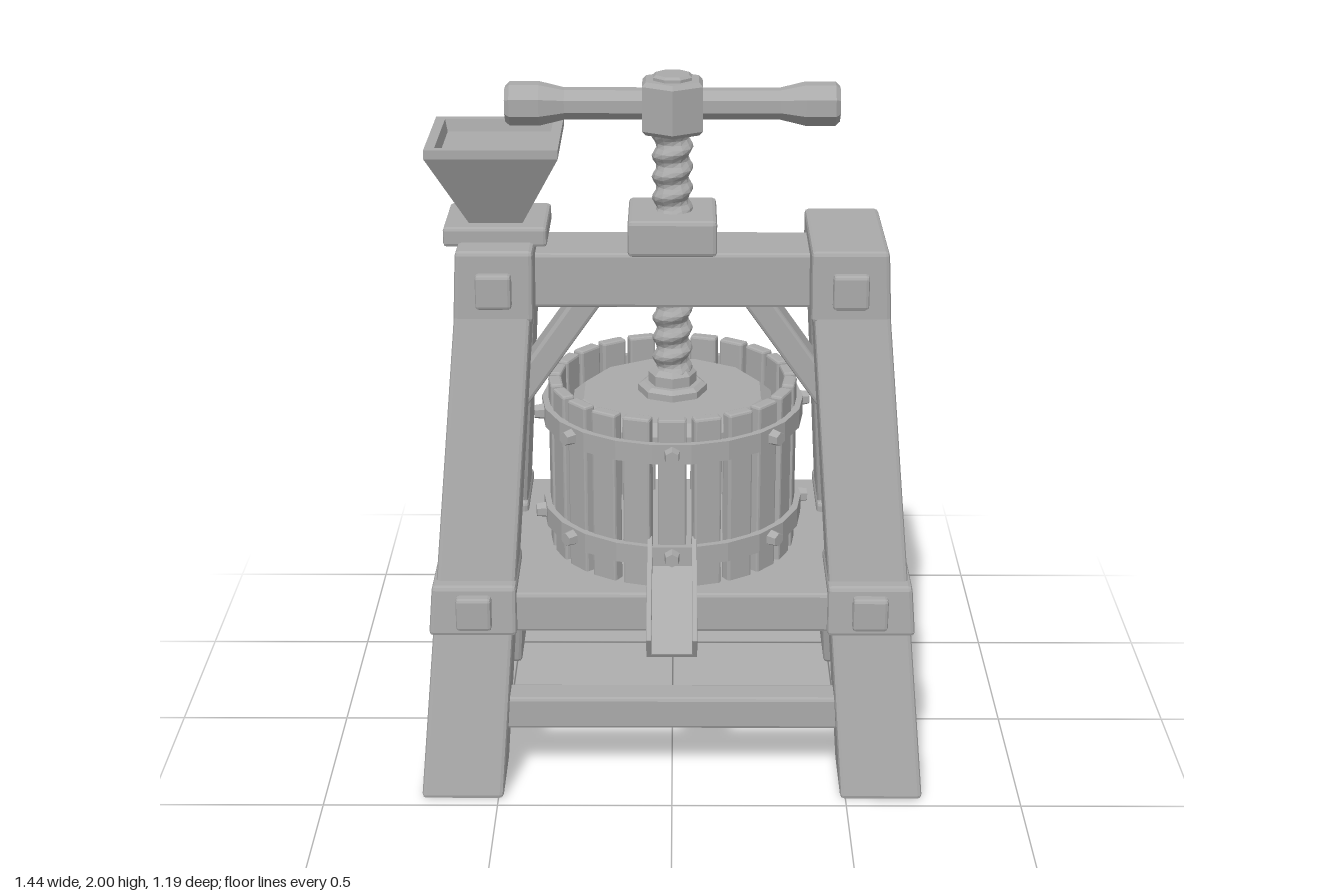
import * as THREE from 'three';
import { RoundedBoxGeometry } from 'three/addons/geometries/RoundedBoxGeometry.js';

export function createModel() {
  const grey = new THREE.MeshStandardMaterial({ color: 0xaaaaaa });
  grey.name = 'plain grey';
  const model = new THREE.Group();
  model.name = 'fruitPress';
  model.position.z = -0.06; // the frame is symmetric about this plane

  // Adds a mesh with one normal per face
  const add = (name, geometry, parent = model) => {
    const g = geometry.index ? geometry.toNonIndexed() : geometry;
    g.computeVertexNormals();
    const mesh = new THREE.Mesh(g, grey);
    mesh.name = name;
    parent.add(mesh);
    return mesh;
  };
  // Chamfered box from its limits
  const block = (name, [x0, x1], [y0, y1], [z0, z1], c = 0.01, parent = model) => {
    const mesh = add(name, new RoundedBoxGeometry(x1 - x0, y1 - y0, z1 - z0, 1, c), parent);
    mesh.position.set((x0 + x1) / 2, (y0 + y1) / 2, (z0 + z1) / 2);
    return mesh;
  };
  // Chamfered post between a lower and an upper rectangle [x0, x1, z0, z1]
  const post = (name, y0, low, y1, high, c = 0.012) => {
    const w = low[1] - low[0], d = low[3] - low[2], h = y1 - y0;
    const g = new RoundedBoxGeometry(w, h, d, 1, c);
    const p = g.attributes.position;
    for (let i = 0; i < p.count; i++) {
      const t = p.getY(i) / h + 0.5;
      const s = low.map((v, k) => v + (high[k] - v) * t);
      p.setXYZ(i,
        s[0] + (p.getX(i) / w + 0.5) * (s[1] - s[0]),
        y0 + t * h,
        s[2] + (p.getZ(i) / d + 0.5) * (s[3] - s[2]));
    }
    return add(name, g);
  };
  const lathe = (name, points, sides, start = 0, parent = model) =>
    add(name, new THREE.LatheGeometry(points.map(([r, y]) => new THREE.Vector2(r, y)), sides, start), parent);
  const flip = (s, a, b) => (s > 0 ? [a, b] : [-b, -a]);

  // Frame: splayed legs, heads, collars, pegs and braces
  for (const sx of [1, -1]) {
    for (const sz of [1, -1]) {
      post('leg', 0, [...flip(sx, 0.485, 0.72), ...flip(sz, 0.30, 0.53)],
        1.40, [...flip(sx, 0.392, 0.605), ...flip(sz, 0.018, 0.212)]);
      post('legCollar', 0.48, [...flip(sx, 0.44, 0.69), ...flip(sz, 0.158, 0.44)],
        0.63, [...flip(sx, 0.44, 0.678), ...flip(sz, 0.152, 0.428)]);
    }
    post('legHead', 1.345, [...flip(sx, 0.387, 0.61), -0.222, 0.222],
      1.55, [...flip(sx, 0.385, 0.6), -0.214, 0.214]);
    block('lowerPeg', flip(sx, 0.51, 0.61), [0.505, 0.605], [0.42, 0.46]);
    block('upperPeg', flip(sx, 0.445, 0.545), [1.39, 1.49], [0.2, 0.245]);
    block('sideRail', flip(sx, 0.47, 0.62), [0.485, 0.61], [-0.2, 0.2]);
    block('sideStretcher', flip(sx, 0.545, 0.635), [0.17, 0.27], [-0.38, 0.38]);
    const brace = block('brace', [-0.0375, 0.0375], [-0.26, 0.26], [-0.058, 0.058]);
    brace.position.set(sx * 0.345, 1.205, 0);
    brace.rotation.z = sx * 0.61;
  }
  block('topBeam', [-0.42, 0.42], [1.35, 1.51], [-0.11, 0.105]);
  for (const sz of [1, -1]) {
    block('longRail', [-0.47, 0.47], [0.48, 0.6], flip(sz, 0.3, 0.41));
    block('longStretcher', [-0.53, 0.53], [0.17, 0.27], flip(sz, 0.33, 0.42));
  }
  block('table', [-0.46, 0.46], [0.53, 0.6], [-0.34, 0.34], 0.005);

  // Basket: spaced staves held by two bands with bolts
  const basket = new THREE.Group();
  basket.name = 'basket';
  model.add(basket);
  const staves = 22, step = (2 * Math.PI) / staves;
  for (let i = 0; i < staves; i++) {
    const a = i * step;
    const stave = block('stave', [-0.04, 0.04], [0.59, 1.11], [-0.019, 0.019], 0.007, basket);
    stave.position.x = Math.sin(a) * 0.341;
    stave.position.z = Math.cos(a) * 0.341;
    stave.rotation.y = a;
  }
  for (const y of [0.702, 1.015]) {
    const lo = y - 0.029, hi = y + 0.029;
    lathe('band', [[0.36, lo], [0.381, lo], [0.381, hi], [0.36, hi], [0.36, lo]], staves, -step / 2, basket);
    for (let k = 0; k < 8; k++) {
      const a = Math.round((k * staves) / 8) * step;
      const bolt = add('bandBolt', new THREE.CylinderGeometry(0.02, 0.026, 0.04, 6).rotateX(Math.PI / 2), basket);
      bolt.position.set(Math.sin(a) * 0.385, y, Math.cos(a) * 0.385);
      bolt.rotation.y = a;
    }
  }

  // Press plate and stepped foot under the screw
  lathe('pressPlate', [[0, 1.0], [0.3, 1.0], [0.3, 1.03], [0.265, 1.06], [0, 1.06]], 12, Math.PI / 12);
  lathe('screwFoot', [[0.1, 1.05], [0.1, 1.08], [0.085, 1.09], [0.07, 1.09], [0.07, 1.12], [0.055, 1.135], [0, 1.135]], 8);

  // Threaded screw
  const y0 = 1.08, h = 0.8;
  const thread = new THREE.CylinderGeometry(0.05, 0.05, h, 12, 64, true);
  const p = thread.attributes.position;
  for (let i = 0; i < p.count; i++) {
    const x = p.getX(i), y = p.getY(i), z = p.getZ(i);
    const s = 1.04 + 0.14 * Math.cos(Math.atan2(x, z) - (2 * Math.PI * y) / 0.06);
    p.setXYZ(i, x * s, y, z * s);
  }
  add('screw', thread).position.y = y0 + h / 2;
  block('screwNut', [-0.125, 0.125], [1.505, 1.61], [-0.125, 0.125], 0.012);

  // Hub, cap and turning handle
  lathe('hub', [[0, 1.835], [0.085, 1.835], [0.097, 1.847], [0.097, 1.973], [0.085, 1.985], [0, 1.985]], 6);
  lathe('hubCap', [[0.058, 1.98], [0.058, 1.993], [0.05, 2], [0, 2]], 8, Math.PI / 8);
  const half = [[0.045, 0.04], [0.045, 0.3], [0.062, 0.37], [0.062, 0.452], [0.05, 0.465], [0, 0.465]];
  const profile = [...half.map(([r, y]) => [r, -y]).reverse(), ...half];
  const handle = lathe('handle', profile, 8, Math.PI / 8);
  handle.rotation.z = -Math.PI / 2;
  handle.position.y = 1.915;

  // Hopper on the right head
  block('hopperBase', [-0.64, -0.35], [1.535, 1.592], [-0.125, 0.125]);
  const q = Math.SQRT2;
  const hopper = lathe('hopper', [[0, 1.585], [0.072 * q, 1.585], [0.183 * q, 1.805], [0.183 * q, 1.83],
    [0.155 * q, 1.83], [0.148 * q, 1.795], [0, 1.795]], 4, Math.PI / 4);
  hopper.position.x = -0.495;

  // Open spout sloping down at the front
  const spout = new THREE.Group();
  spout.name = 'spout';
  spout.position.set(0, 0.633, 0.485);
  spout.rotation.x = 0.48;
  model.add(spout);
  block('spoutFloor', [-0.07, 0.07], [-0.04, -0.024], [-0.18, 0.18], 0.002, spout);
  for (const s of [1, -1]) block('spoutWall', flip(s, 0.056, 0.07), [-0.04, 0.04], [-0.18, 0.18], 0.002, spout);

  const root = new THREE.Group();
  root.name = 'press';
  root.add(model);
  return root;
}
